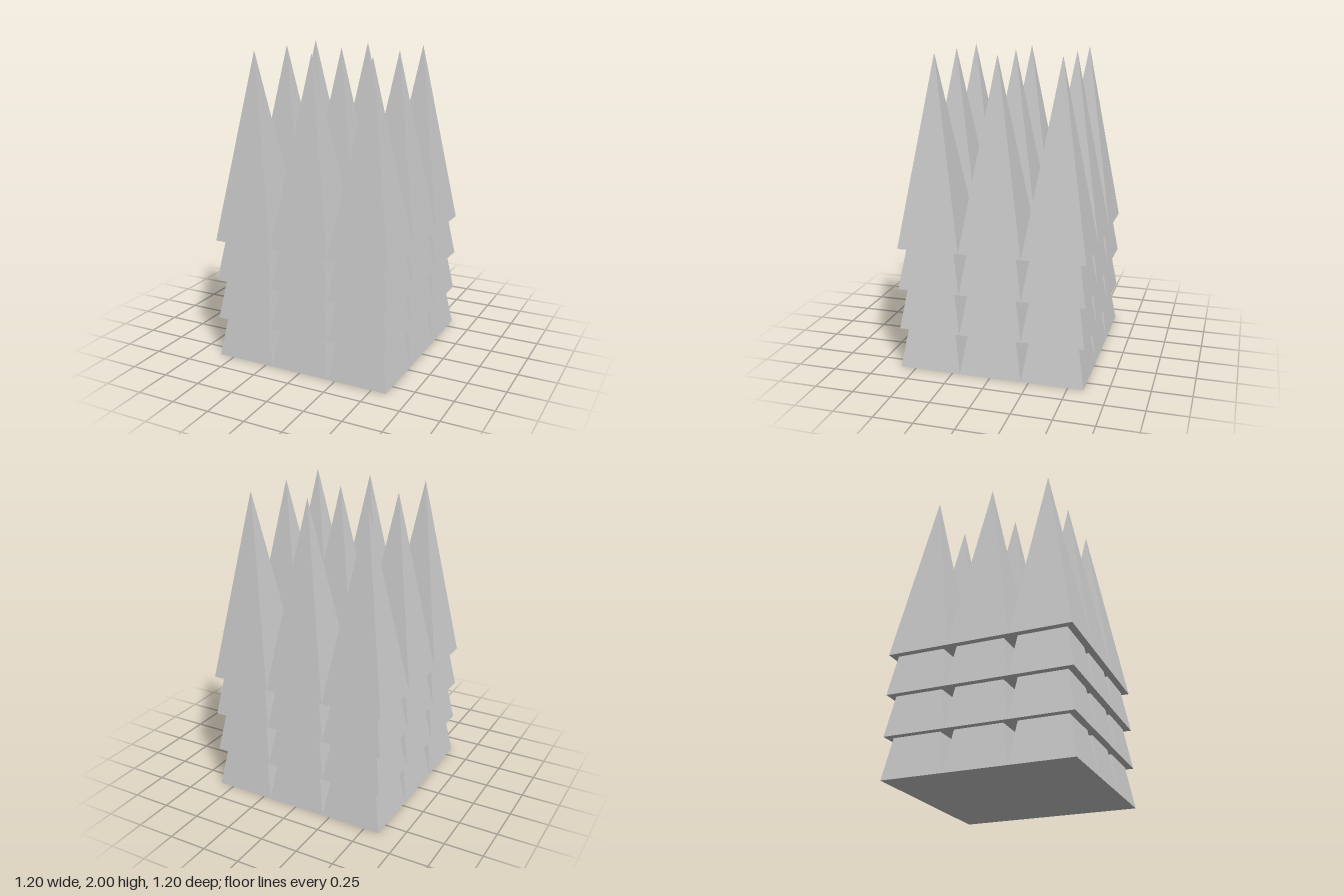
import * as THREE from 'three';

const GRID = 3, LAYERS = 4;
const WIDTH = 0.4, HEIGHT = 1.2, STEP = 0.8 / 3;

export function createModel() {
  const model = new THREE.Group();
  model.name = 'stackedSpires';
  const material = new THREE.MeshStandardMaterial({ color: 0xcccccc, flatShading: true });

  // Square pyramid with its base at y = 0 and sides along x and z
  const pyramid = new THREE.ConeGeometry(WIDTH / Math.SQRT2, HEIGHT, 4)
    .rotateY(Math.PI / 4)
    .translate(0, HEIGHT / 2, 0);

  // Each tier is a 3 x 3 grid of pyramids, nested into the tier above
  for (let layer = 0; layer < LAYERS; layer++) {
    const tier = new THREE.Group();
    tier.name = `tier${layer + 1}`;
    tier.position.y = layer * STEP;
    for (let row = 0; row < GRID; row++) {
      for (let col = 0; col < GRID; col++) {
        const spire = new THREE.Mesh(pyramid, material);
        spire.name = `pyramid${row * GRID + col + 1}`;
        spire.position.set((col - 1) * WIDTH, 0, (row - 1) * WIDTH);
        tier.add(spire);
      }
    }
    model.add(tier);
  }
  return model;
}
